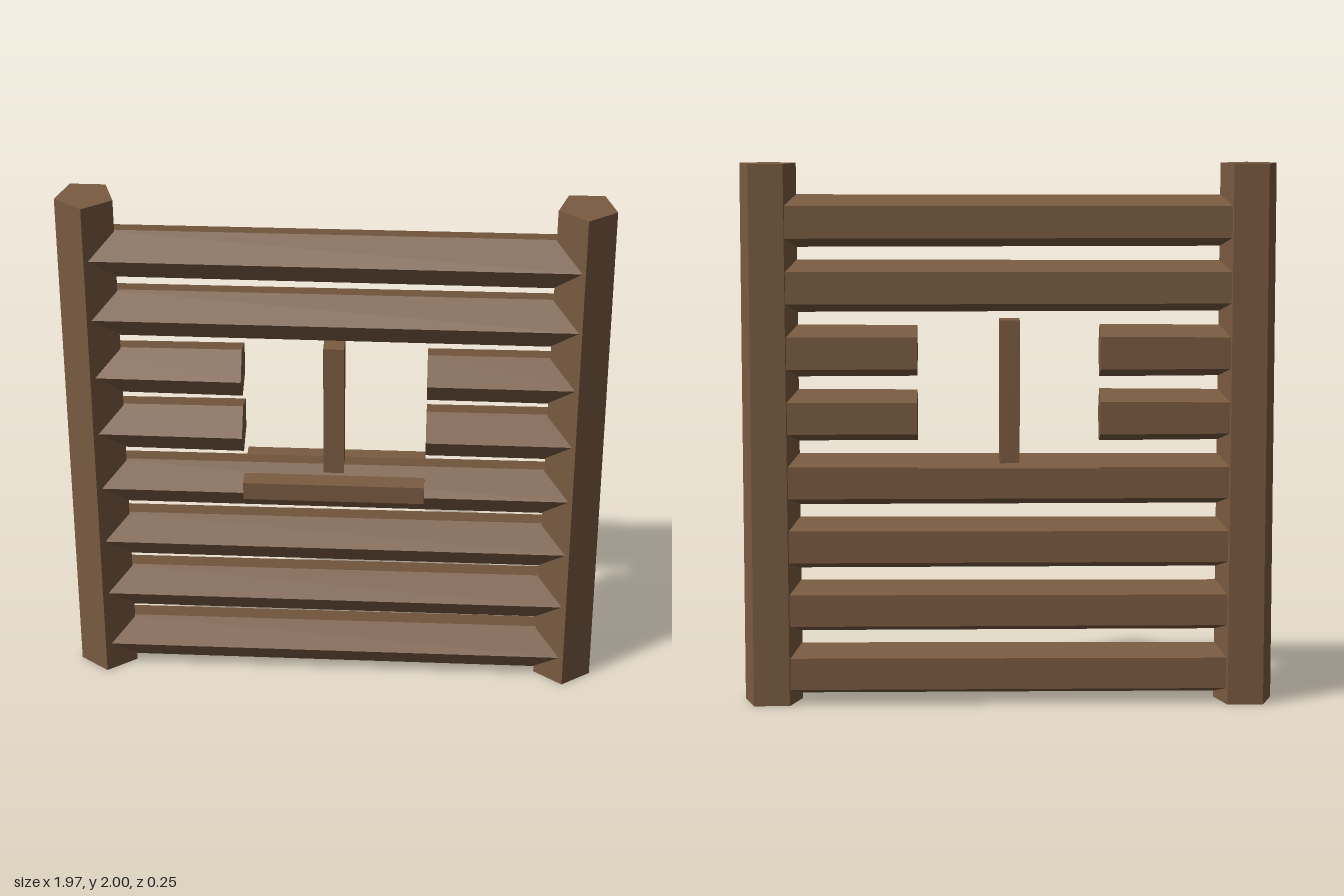
import * as THREE from 'three';

export function createModel() {
  const group = new THREE.Group();
  const wood = new THREE.MeshStandardMaterial({ color: 0x7a5b41, flatShading: true });
  wood.name = 'brown wood';

  const add = (name, geometry, x, y, z) => {
    const mesh = new THREE.Mesh(geometry, wood);
    mesh.name = name;
    mesh.position.set(x, y, z);
    group.add(mesh);
  };

  // Five-sided posts, slightly tapered, with one edge facing the front
  for (const side of [-1, 1]) {
    const name = side > 0 ? 'leftPost' : 'rightPost';
    add(name, new THREE.CylinderGeometry(0.108, 0.113, 2, 5), side * 0.878, 1, 0);
  }

  // Five-sided horizontal log from x0 to x1, a little thicker towards +x
  const addLog = (name, x0, x1, y, r0, r1) => {
    const log = new THREE.CylinderGeometry(r1, r0, x1 - x0, 5);
    log.rotateZ(-Math.PI / 2);
    add(name, log, (x0 + x1) / 2, y, 0);
  };

  // Eight rows of logs; two rows are cut short around the window
  for (let i = 0; i < 8; i++) {
    const y = 0.118 + i * 0.2388;
    if (i === 4 || i === 5) {
      addLog('rightShortLog', -0.87, -0.335, y, 0.098, 0.102);
      addLog('leftShortLog', 0.335, 0.87, y, 0.099, 0.101);
    } else {
      addLog('log', -0.87, 0.87, y, 0.098, 0.101);
    }
  }

  // Window sill through the log and the upright bar standing on it
  add('windowSill', new THREE.BoxGeometry(0.665, 0.07, 0.25), 0, 0.86, 0);
  add('windowBar', new THREE.BoxGeometry(0.075, 0.58, 0.1), -0.003, 1.14, 0);

  return group;
}
